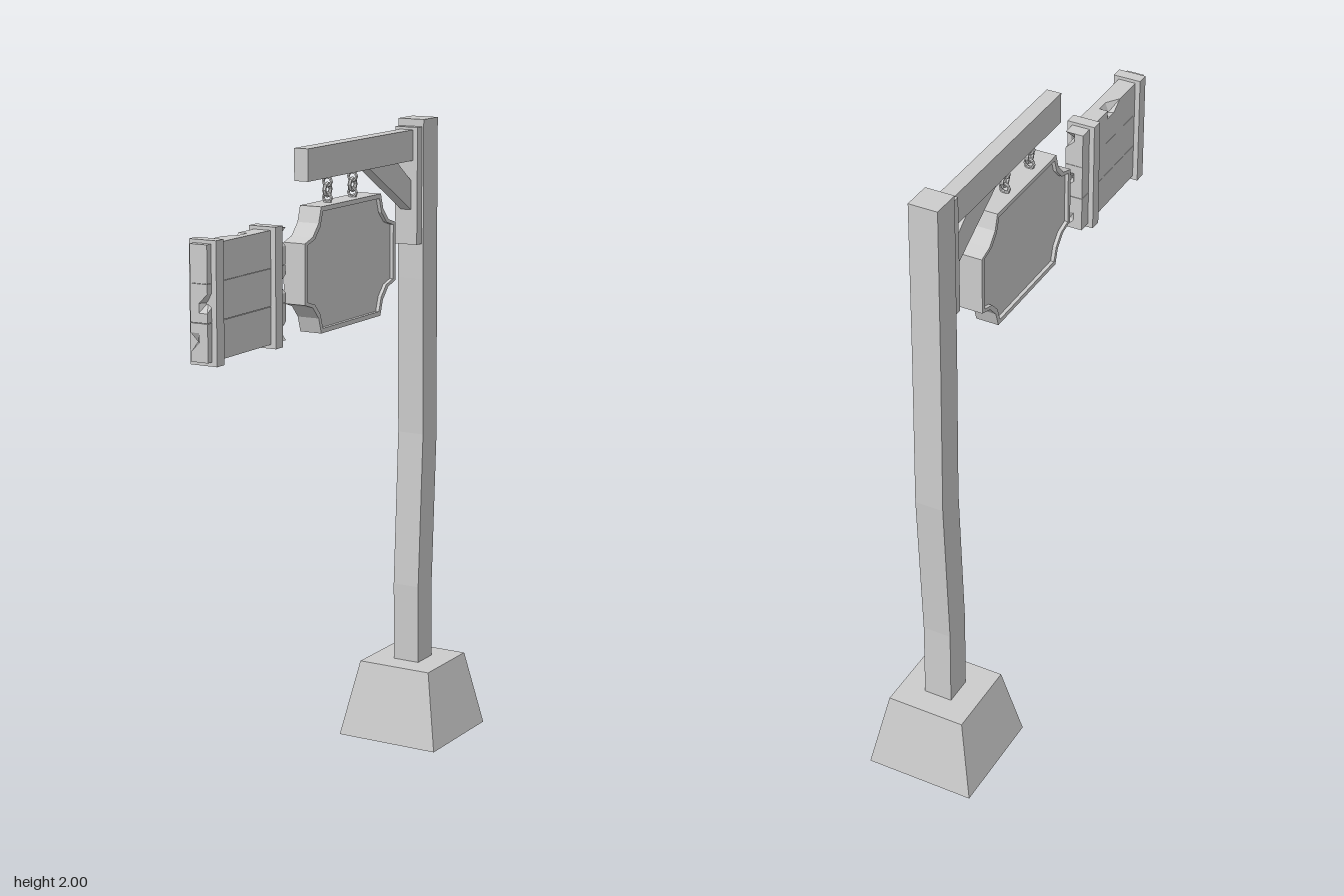
import * as THREE from 'three';

const material = new THREE.MeshStandardMaterial({ color: 0xcccccc, flatShading: true });
const openMaterial = new THREE.MeshStandardMaterial({ color: 0xcccccc, flatShading: true, side: THREE.DoubleSide });

function add(parent, name, geometry, x = 0, y = 0, z = 0, mat = material) {
  const mesh = new THREE.Mesh(geometry, mat);
  mesh.name = name;
  mesh.position.set(x, y, z);
  parent.add(mesh);
  return mesh;
}

// Side profile given as [z, y] points, extruded along x and centred on it
function sidePanel(points, width, hole) {
  const shape = new THREE.Shape(points.map(([z, y]) => new THREE.Vector2(z, y)));
  if (hole) shape.holes.push(new THREE.Path(hole.map(([z, y]) => new THREE.Vector2(z, y))));
  return new THREE.ExtrudeGeometry(shape, { depth: width, bevelEnabled: false })
    .translate(0, 0, -width / 2).rotateY(-Math.PI / 2);
}

// Plank whose edge vertices nearest each chip [x, y, z, dx, dy, dz] are pushed in
function chippedPlank(w, h, d, chips) {
  const geometry = new THREE.BoxGeometry(w, h, d, 2, 4, 10);
  const p = geometry.attributes.position;
  for (const [x, y, z, dx, dy, dz] of chips) {
    const target = new THREE.Vector3(x * w / 2, y * h / 2, z * d / 2);
    const v = new THREE.Vector3();
    for (let i = 0; i < p.count; i++) {
      v.fromBufferAttribute(p, i);
      if (v.distanceTo(target) < 0.004) p.setXYZ(i, v.x + dx, v.y + dy, v.z + dz);
    }
  }
  return geometry;
}

export function createModel() {
  const model = new THREE.Group();
  model.name = 'hangingSignPost';
  const postZ = -0.532;

  // Tapered footing, hollow underneath
  const footing = new THREE.CylinderGeometry(0.125 * Math.SQRT2, 0.174 * Math.SQRT2, 0.245, 4, 1, true)
    .rotateY(Math.PI / 4);
  add(model, 'footing', footing, 0, 0.1225, postZ, openMaterial);
  add(model, 'footingTop', new THREE.PlaneGeometry(0.25, 0.25).rotateX(-Math.PI / 2), 0, 0.245, postZ, openMaterial);

  // Slightly crooked post: each height level shifts in z
  const post = new THREE.BoxGeometry(0.09, 2, 0.092, 1, 4, 1);
  const shifts = [-0.005, 0.003, -0.021, -0.012, -0.008];
  const pos = post.attributes.position;
  for (let i = 0; i < pos.count; i++) {
    const level = Math.round((pos.getY(i) + 1) * 2);
    pos.setZ(i, pos.getZ(i) + shifts[level]);
  }
  add(model, 'post', post, 0, 1, postZ);

  // Bracket: wall plate, beam and diagonal brace
  const bracket = new THREE.Group();
  bracket.name = 'bracket';
  model.add(bracket);
  add(bracket, 'plate', new THREE.BoxGeometry(0.078, 0.365, 0.045), 0, 1.795, -0.488);
  add(bracket, 'beam', new THREE.BoxGeometry(0.046, 0.095, 0.635), 0, 1.922, -0.152);
  add(bracket, 'brace', sidePanel([[-0.2, 1.877], [-0.468, 1.72], [-0.468, 1.81], [-0.375, 1.877]], 0.036));

  // Hanging board with scooped corners, raised rim and recessed faces
  const corner = [[0.27, 0.09], [0.225, 0.104], [0.192, 0.14], [0.177, 0.187]];
  const mirrored = corner.slice().reverse();
  const outline = [
    ...corner,
    ...mirrored.map(([z, y]) => [-z, y]),
    ...corner.map(([z, y]) => [-z, -y]),
    ...mirrored.map(([z, y]) => [z, -y]),
  ];
  const inner = outline.map(([z, y]) => [z * 0.945, y * 0.925]);
  const board = new THREE.Group();
  board.name = 'hangingBoard';
  board.position.set(0, 1.61, -0.065);
  model.add(board);
  add(board, 'boardRim', sidePanel(outline, 0.072, inner));
  add(board, 'boardPanel', sidePanel(inner, 0.05));

  // Chain links between beam and board
  for (const z of [0.016, -0.132]) {
    const chain = new THREE.Group();
    chain.name = 'chain';
    chain.position.set(0, 1.835, z);
    model.add(chain);
    add(chain, 'middleLink', new THREE.TorusGeometry(0.018, 0.006, 6, 8).rotateY(Math.PI / 2));
    for (const s of [-1, 1]) {
      add(chain, 'eyelet', new THREE.TorusGeometry(0.014, 0.005, 6, 8), 0, s * 0.024, 0);
    }
  }

  // Separate plank sign with chipped planks and two straps
  const sign = new THREE.Group();
  sign.name = 'plankSign';
  sign.position.set(0, 0, 0.503);
  model.add(sign);
  const planks = [
    { y: 1.487, h: 0.109, chips: [[-1, 0, 1, 0.015, 0, -0.015], [1, -0.5, -1, -0.012, 0, 0.012]] },
    { y: 1.597, h: 0.108, chips: [[1, 0, 1, -0.014, 0, -0.025], [1, 0, -1, -0.014, 0, 0.022]] },
    { y: 1.706, h: 0.108, chips: [[-1, 1, 0, 0.018, -0.03, 0], [1, 0.5, -1, -0.016, 0, 0.024]] },
  ];
  for (const { y, h, chips } of planks) {
    add(sign, 'plank', chippedPlank(0.056, h, 0.41, chips), 0, y, 0);
  }
  for (const z of [-0.143, 0.165]) {
    add(sign, 'strap', new THREE.BoxGeometry(0.088, 0.35, 0.038), 0, 1.595, z);
  }

  return model;
}
